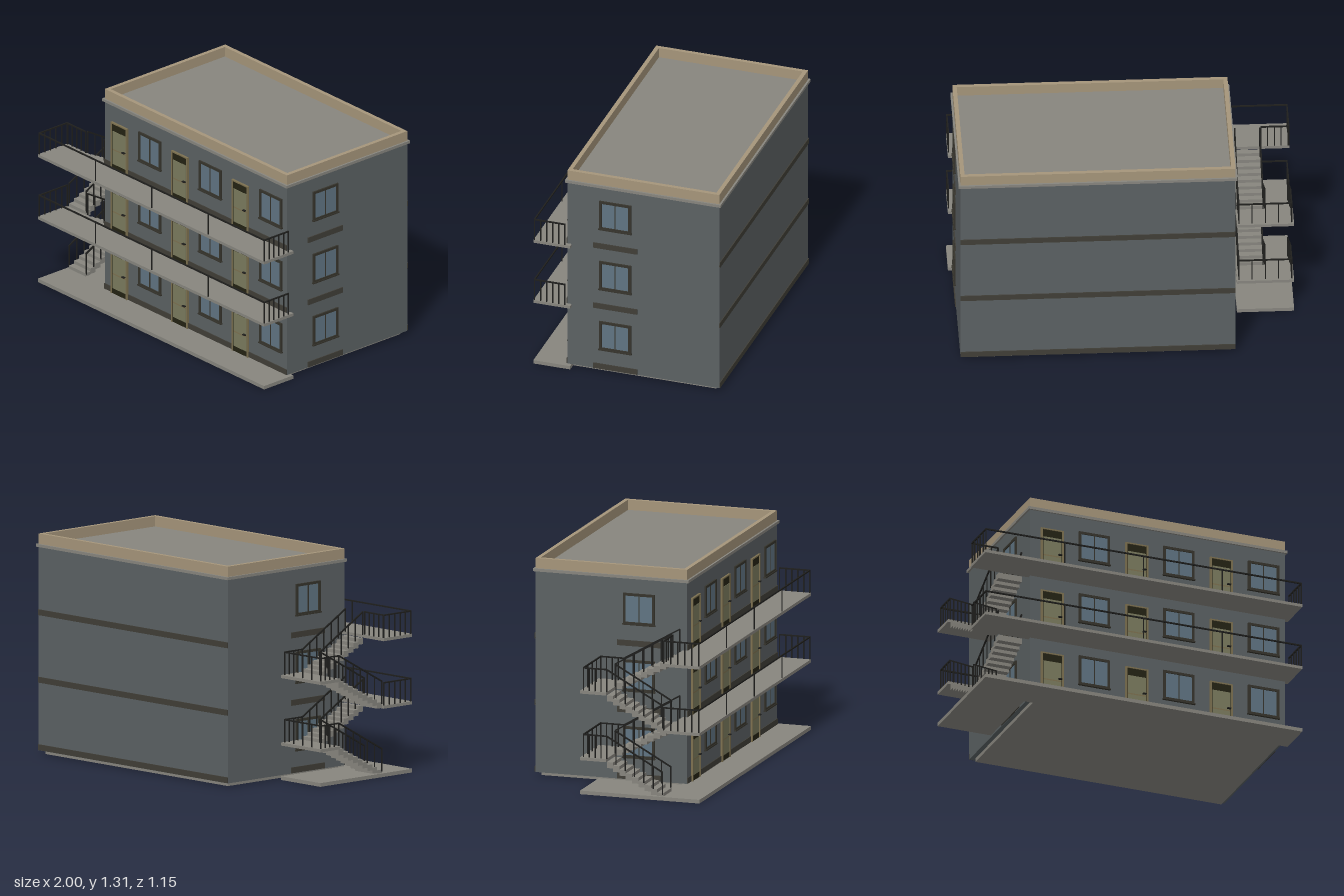
import * as THREE from 'three';

const mat = (name, color) => Object.assign(new THREE.MeshStandardMaterial({ color }), { name });
const M = {
  wall: mat('wall slate', 0x5b6163),
  slab: mat('concrete grey', 0x87857e),
  parapet: mat('parapet tan', 0xa5957a),
  band: mat('band brown', 0x403e37),
  frame: mat('window frame', 0x36342c),
  glass: mat('glass blue', 0x607482),
  door: mat('door olive', 0x7b7b5e),
  trim: mat('door trim', 0x7d7150),
  dark: mat('door dark', 0x242213),
  rail: mat('rail black', 0x1f1f1d),
};

// Box given by its extents on each axis
function box(parent, name, m, [x0, x1], [y0, y1], [z0, z1]) {
  const mesh = new THREE.Mesh(new THREE.BoxGeometry(x1 - x0, y1 - y0, z1 - z0), m);
  mesh.position.set((x0 + x1) / 2, (y0 + y1) / 2, (z0 + z1) / 2);
  mesh.name = name;
  parent.add(mesh);
  return mesh;
}

function group(parent, name, x = 0, y = 0, z = 0, turn = 0) {
  const g = new THREE.Group();
  g.name = name;
  g.position.set(x, y, z);
  g.rotation.y = turn;
  parent.add(g);
  return g;
}

// Square bar between two points
function bar(parent, name, a, b, t) {
  const mesh = new THREE.Mesh(new THREE.BoxGeometry(t, t, a.distanceTo(b) + t * 0.5), M.rail);
  mesh.position.copy(a).add(b).multiplyScalar(0.5);
  mesh.lookAt(b);
  mesh.name = name;
  parent.add(mesh);
}

// Handrail above the line a-b with n + 1 upright posts
function railing(parent, name, a, b, n) {
  const g = group(parent, name);
  const A = new THREE.Vector3(...a), B = new THREE.Vector3(...b);
  const up = new THREE.Vector3(0, 0.135, 0);
  bar(g, 'handrail', A.clone().add(up), B.clone().add(up), 0.008);
  for (let i = 0; i <= n; i++) {
    const p = A.clone().lerp(B, i / n);
    box(g, 'post', M.rail, [p.x - 0.003, p.x + 0.003], [p.y, p.y + 0.135], [p.z - 0.003, p.z + 0.003]);
  }
}

// Two-pane window facing +z, origin at the bottom centre of its opening
function addWindow(parent, x, y, z, turn) {
  const g = group(parent, 'window', x, y, z, turn);
  box(g, 'glass', M.glass, [-0.09, 0.09], [0.008, 0.18], [-0.002, 0.004]);
  for (const s of [-1, 1]) box(g, 'sideFrame', M.frame, [s * 0.09 - 0.008, s * 0.09 + 0.008], [0, 0.186], [-0.002, 0.01]);
  box(g, 'topFrame', M.frame, [-0.098, 0.098], [0.172, 0.187], [-0.002, 0.01]);
  box(g, 'bottomFrame', M.frame, [-0.098, 0.098], [0, 0.015], [-0.002, 0.01]);
  box(g, 'mullion', M.frame, [-0.003, 0.003], [0.01, 0.18], [-0.002, 0.007]);
  box(g, 'sill', M.frame, [-0.102, 0.102], [-0.003, 0.005], [-0.002, 0.014]);
}

// Two-panel door with a dark transom
function addDoor(parent, x, y, z) {
  const g = group(parent, 'door', x, y, z);
  box(g, 'doorBacking', M.dark, [-0.066, 0.066], [0, 0.295], [-0.002, 0.008]);
  for (const s of [-1, 1]) box(g, 'sideTrim', M.trim, [s * 0.067 - 0.005, s * 0.067 + 0.005], [0, 0.3], [-0.002, 0.013]);
  box(g, 'topTrim', M.trim, [-0.072, 0.072], [0.292, 0.3], [-0.002, 0.013]);
  box(g, 'upperPanel', M.door, [-0.056, 0.056], [0.132, 0.246], [0.006, 0.01]);
  box(g, 'lowerPanel', M.door, [-0.056, 0.056], [0.034, 0.124], [0.006, 0.01]);
  box(g, 'middleRail', M.trim, [-0.056, 0.056], [0.124, 0.132], [0.006, 0.01]);
  box(g, 'handle', M.rail, [0.035, 0.057], [0.137, 0.143], [0.01, 0.024]);
}

// Straight flight of treads from z0 to z1, rising 0.2
function addFlight(parent, x0, x1, y, z0, z1) {
  const g = group(parent, 'stairFlight');
  const n = 9, d = (z1 - z0) / n;
  for (let i = 0; i < n; i++) {
    const a = z0 + i * d, b = a + d, top = y + (i + 1) * 0.02;
    box(g, 'step', M.slab, [x0, x1], [Math.max(top - 0.036, y - 0.015), top], [Math.min(a, b), Math.max(a, b)]);
  }
}

export function createModel() {
  const model = new THREE.Group();
  model.name = 'apartmentBlock';
  const L = -0.637, R = 0.973, F = 0.377, B = -0.561;

  // Body, roof slab and parapet
  box(model, 'walls', M.wall, [L, R], [0.022, 1.23], [B, F]);
  box(model, 'baseSlab', M.slab, [L + 0.028, R - 0.028], [0, 0.022], [B + 0.028, 0.35]);
  box(model, 'roofSlab', M.slab, [L - 0.011, R + 0.011], [1.229, 1.246], [B - 0.012, F + 0.011]);
  const parapet = group(model, 'parapet');
  for (const [x0, x1] of [[L, L + 0.025], [R - 0.025, R]]) box(parapet, 'parapetSide', M.parapet, [x0, x1], [1.246, 1.307], [B, F]);
  for (const [z0, z1] of [[B, B + 0.025], [F - 0.025, F]]) box(parapet, 'parapetEnd', M.parapet, [L + 0.025, R - 0.025], [1.246, 1.307], [z0, z1]);

  // Ground slab under the stairs
  box(model, 'stairBase', M.slab, [-1, -0.665], [0, 0.022], [-0.16, 0.35]);

  for (let i = 0; i < 3; i++) {
    const f = 0.022 + i * 0.4;
    const floor = group(model, 'floor' + (i + 1));
    box(floor, 'walkway', M.slab, [-1, 1], [f - (i ? 0.018 : 0.022), f], [0.35, 0.578]);

    // Dark bands around the storey
    const h = [f + 0.002, f + 0.036];
    box(floor, 'frontBand', M.band, [L, R], h, [F - 0.002, F + 0.005]);
    box(floor, 'backBand', M.band, [L, R], h, [B - 0.006, B + 0.002]);
    box(floor, 'leftBand', M.band, [R - 0.002, R + 0.006], h, [-0.055, 0.215]);
    box(floor, 'rightBand', M.band, [L - 0.006, L + 0.002], h, [-0.055, 0.215]);

    // Doors and windows
    for (let k = 0; k < 3; k++) {
      addDoor(floor, -0.5 + k * 0.534, f, F);
      addWindow(floor, -0.233 + k * 0.534, f + 0.132, F, 0);
    }
    addWindow(floor, R, f + 0.132, 0.08, Math.PI / 2);
    addWindow(floor, L, f + 0.132, 0.08, -Math.PI / 2);

    // Walkway railings
    if (i) {
      railing(floor, 'frontRailing', [-0.995, f, 0.572], [0.995, f, 0.572], 4);
      for (const s of [-1, 1]) railing(floor, 'endRailing', [s * 0.995, f, 0.572], [s * 0.995, f, s > 0 ? 0.385 : 0.355], 5);
    }
    if (i === 2) {
      railing(floor, 'stairGuard', [-0.99, f, 0.355], [-0.832, f, 0.355], 4);
      continue;
    }

    // Stairs with a half landing
    const m = f + 0.2, stairs = group(floor, 'stairs');
    addFlight(stairs, -0.985, -0.838, f, 0.35, 0);
    addFlight(stairs, -0.825, -0.678, m, 0, 0.35);
    box(stairs, 'landing', M.slab, [-1, -0.665], [m - 0.018, m], [-0.16, 0]);
    railing(stairs, 'landingBackRail', [-0.987, m, -0.143], [-0.678, m, -0.143], 4);
    for (const x of [-0.987, -0.678]) railing(stairs, 'landingSideRail', [x, m, -0.143], [x, m, 0], 4);
    for (const x of [-0.987, -0.838]) railing(stairs, 'lowerStairRail', [x, m, 0], [x, f + 0.01, 0.345], 6);
    for (const x of [-0.825, -0.678]) railing(stairs, 'upperStairRail', [x, m, 0], [x, f + 0.4, 0.345], 6);
  }
  return model;
}
